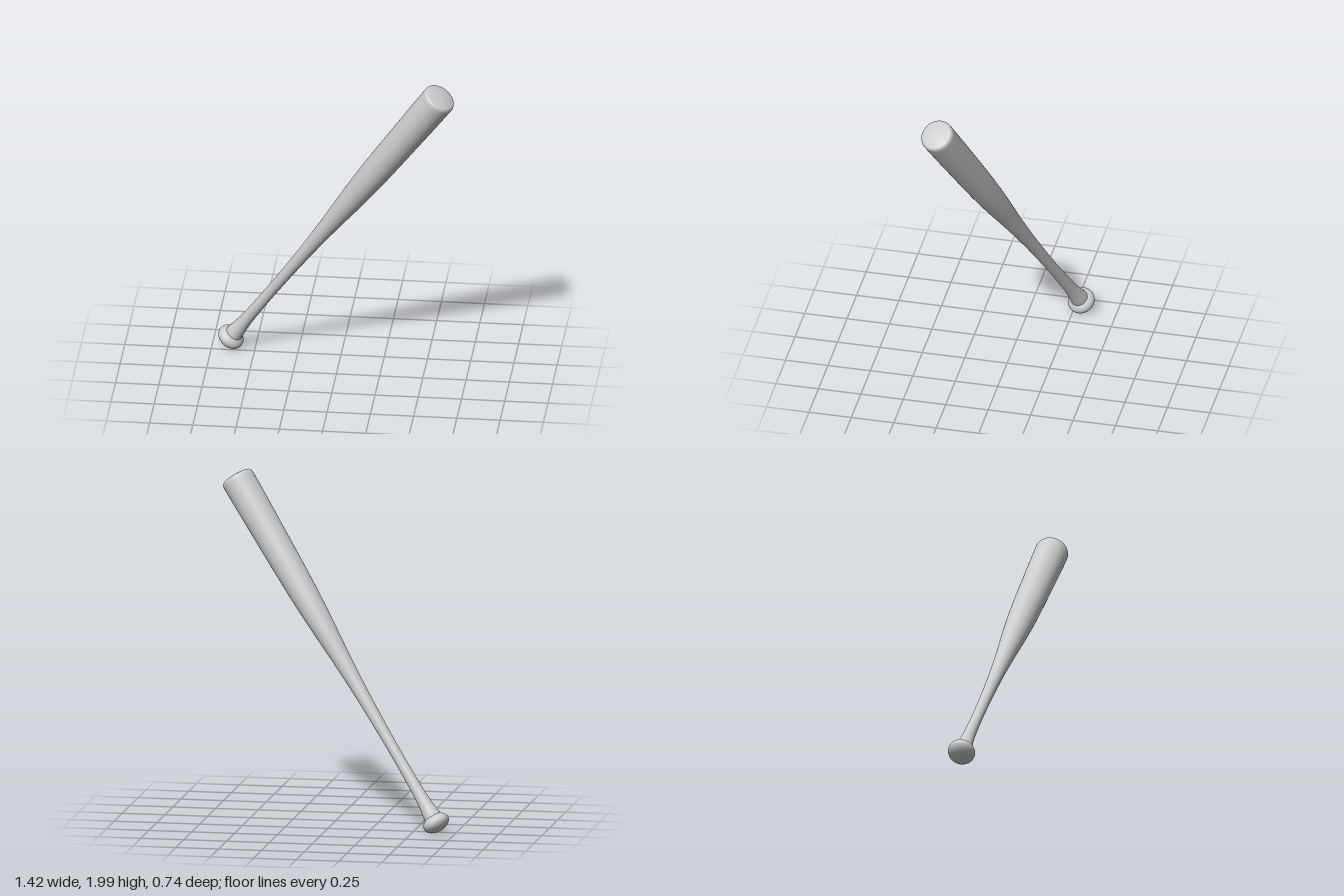
import * as THREE from 'three';

const SEGMENTS = 64;

export function createModel() {
  const model = new THREE.Group();
  model.name = 'bat';
  const material = new THREE.MeshStandardMaterial({ color: 0xcccccc });

  const addLathe = (name, points) => {
    const mesh = new THREE.Mesh(new THREE.LatheGeometry(points, SEGMENTS), material);
    mesh.name = name;
    model.add(mesh);
  };

  // Shaft: flared neck, slim handle, long taper into the barrel (radius, distance from knob)
  const taper = new THREE.SplineCurve([
    [0.054, 0.0], [0.05, 0.05], [0.042, 0.11], [0.036, 0.19], [0.033, 0.32], [0.032, 0.45],
    [0.034, 0.63], [0.039, 0.82], [0.047, 1.0], [0.058, 1.18], [0.071, 1.36],
    [0.081, 1.55], [0.087, 1.75], [0.091, 1.95], [0.095, 2.15], [0.097, 2.31],
  ].map(([r, t]) => new THREE.Vector2(r, t)));
  const profile = taper.getPoints(70);

  // Rounded rim and shallow domed end
  const rim = 0.018;
  for (let i = 1; i <= 6; i++) {
    const a = (i / 6) * 1.35;
    profile.push(new THREE.Vector2(0.097 - rim + rim * Math.cos(a), 2.315 + 0.026 * Math.sin(a)));
  }
  const last = profile[profile.length - 1];
  const edgeRadius = last.x, edgeHeight = last.y;
  for (let i = 1; i <= 6; i++) {
    const k = 1 - i / 6;
    profile.push(new THREE.Vector2(edgeRadius * k, edgeHeight + 0.011 * (1 - k * k)));
  }
  addLathe('shaft', profile);

  // Knob: flattened round button at the handle end
  const knob = [];
  for (let i = 0; i <= 28; i++) {
    const a = -Math.PI / 2 + (i / 28) * Math.PI;
    knob.push(new THREE.Vector2(Math.max(0, 0.079 * Math.cos(a)), 0.05 * Math.sin(a)));
  }
  addLathe('knob', knob);

  // Lean the bat from its knob towards the raised barrel end
  const axis = new THREE.Vector3(1.273, 1.878, 0.57).normalize();
  model.quaternion.setFromUnitVectors(new THREE.Vector3(0, 1, 0), axis);
  model.position.set(-0.641, 0.063, -0.293);

  const root = new THREE.Group();
  root.name = 'leaningBat';
  root.add(model);
  return root;
}
